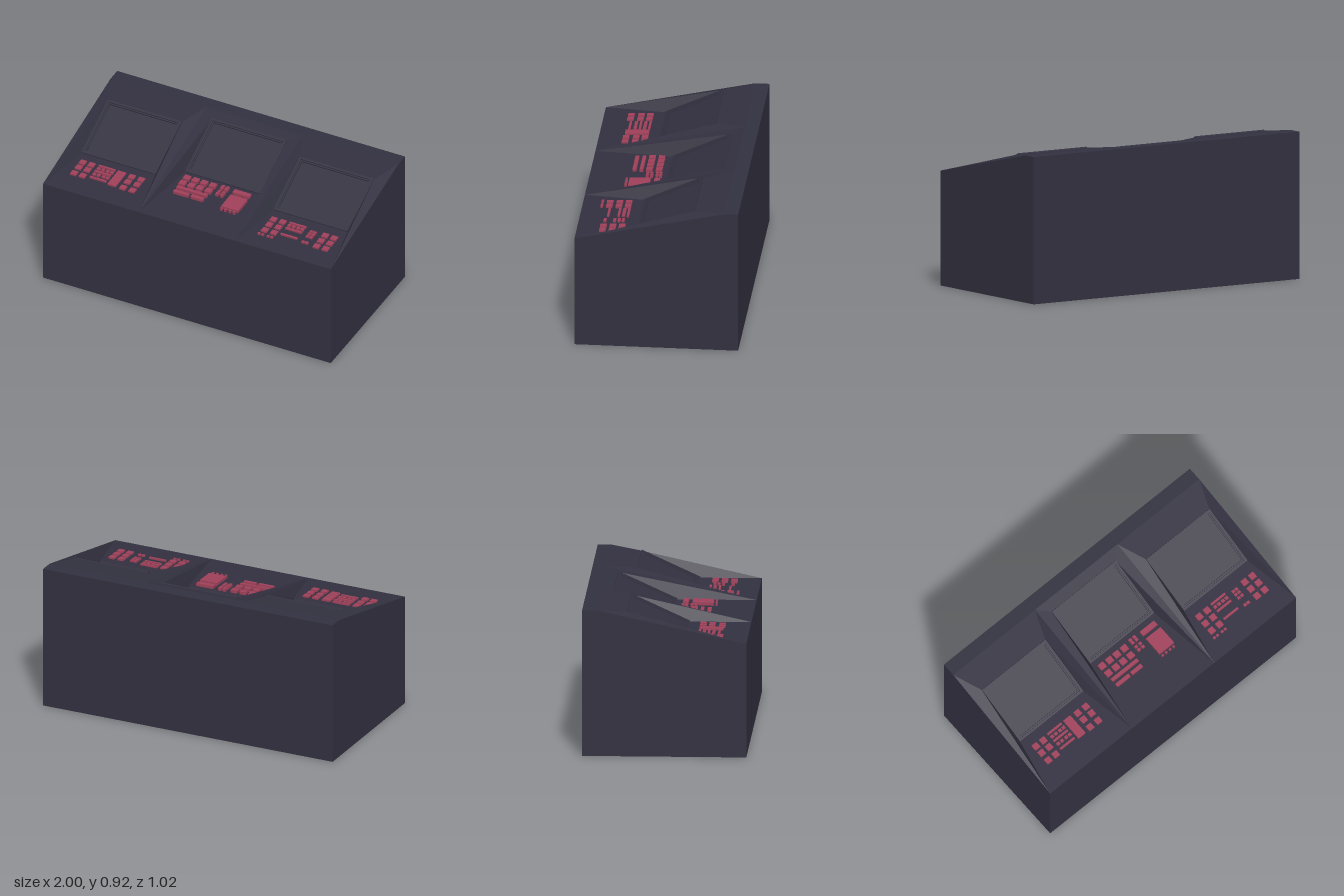
import * as THREE from 'three';

const bodyMat = new THREE.MeshStandardMaterial({ color: 0x32303f });
bodyMat.name = 'dark slate';
const keyMat = new THREE.MeshStandardMaterial({ color: 0x9e4059 });
keyMat.name = 'dusty red';

const FRONT = 0.51, RIDGE = -0.42, BACK = -0.51, LOW = 0.72, HIGH = 0.923, HINGE = 0.735;

// Flat-shaded mesh from convex polygons, each fanned from its first corner
function facets(name, polygons) {
  const pos = [];
  for (const p of polygons)
    for (let i = 1; i < p.length - 1; i++) pos.push(...p[0], ...p[i], ...p[i + 1]);
  const g = new THREE.BufferGeometry();
  g.setAttribute('position', new THREE.Float32BufferAttribute(pos, 3));
  g.computeVertexNormals();
  const m = new THREE.Mesh(g, bodyMat);
  m.name = name;
  return m;
}

// Rectangle path with separate left, right, bottom and top
function rect(Type, l, r, b, t) {
  const s = new Type();
  s.moveTo(l, b); s.lineTo(r, b); s.lineTo(r, t); s.lineTo(l, t); s.closePath();
  return s;
}

// Rectangular ring; the bottom bar can be wider than the others
function ring(name, w, h, inset, side, bottom, z0, z1) {
  const l = -w / 2 + inset, b = -h / 2 + inset;
  const s = rect(THREE.Shape, l, -l, b, -b);
  s.holes.push(rect(THREE.Path, l + side, -l - side, b + bottom, -b - side));
  const g = new THREE.ExtrudeGeometry(s, { depth: z1 - z0, bevelEnabled: false });
  const m = new THREE.Mesh(g, bodyMat);
  m.position.z = z0;
  m.name = name;
  return m;
}

// One workstation: key deck, sloping cheeks, back slope and tilted monitor
function makeBay({ name, x0, x1, in0, in1, zB, zC, yC, keyHeight, keys }) {
  const bay = new THREE.Group();
  bay.name = name;
  const A0 = [x0, LOW, FRONT], A1 = [x1, LOW, FRONT];
  const B0 = [in0, HINGE, zB], B1 = [in1, HINGE, zB];
  const C0 = [in0, yC, zC], C1 = [in1, yC, zC];
  const D0 = [x0, HIGH, RIDGE], D1 = [x1, HIGH, RIDGE];
  bay.add(facets('keyDeck', [[A0, A1, B1, B0]]));
  bay.add(facets('cheeks', [[A0, B0, C0], [A0, C0, D0], [A1, D1, C1], [A1, C1, B1]]));
  bay.add(facets('backSlope', [[C0, C1, D1, D0]]));

  // Monitor
  const dy = yC - HINGE, dz = zB - zC, w = in1 - in0, h = Math.hypot(dy, dz);
  const monitor = new THREE.Group();
  monitor.name = 'monitor';
  monitor.position.set((in0 + in1) / 2, (HINGE + yC) / 2, (zB + zC) / 2);
  monitor.rotation.x = -Math.atan2(dz, dy);
  monitor.add(ring('outerFrame', w, h, 0, 0.015, 0.015, -0.014, 0.007));
  monitor.add(ring('innerFrame', w, h, 0.014, 0.01, 0.012, -0.014, 0));
  const screen = new THREE.Mesh(new THREE.PlaneGeometry(w - 0.03, h - 0.03), bodyMat);
  screen.name = 'screen';
  screen.position.z = -0.009;
  monitor.add(screen);
  bay.add(monitor);

  // Keys, each row of data being x list, z list, width, depth
  const keypad = new THREE.Group();
  keypad.name = 'keypad';
  const slope = (HINGE - LOW) / (FRONT - zB);
  for (const [xs, zs, kw, kd] of keys)
    for (const x of xs) for (const z of zs) {
      const k = new THREE.Mesh(new THREE.BoxGeometry(kw, keyHeight, kd), keyMat);
      k.name = 'key';
      k.position.set(x, LOW + slope * (FRONT - z) + keyHeight / 2 - 0.001, z);
      k.rotation.x = Math.atan(slope);
      keypad.add(k);
    }
  bay.add(keypad);
  return bay;
}

export function createModel() {
  const model = new THREE.Group();
  model.name = 'controlConsole';

  // Cabinet shell
  const side = (x) => [[x, 0, FRONT], [x, 0, BACK], [x, HIGH, BACK], [x, HIGH, RIDGE], [x, LOW, FRONT]];
  model.add(facets('cabinet', [
    [[-1, 0, FRONT], [1, 0, FRONT], [1, LOW, FRONT], [-1, LOW, FRONT]],
    [[1, 0, BACK], [-1, 0, BACK], [-1, HIGH, BACK], [1, HIGH, BACK]],
    [[-1, 0, BACK], [1, 0, BACK], [1, 0, FRONT], [-1, 0, FRONT]],
    [[-1, HIGH, RIDGE], [1, HIGH, RIDGE], [1, HIGH, BACK], [-1, HIGH, BACK]],
    side(1), side(-1).reverse(),
  ]));

  // Outer workstations
  const outer = { zB: 0.13, zC: -0.235, yC: 0.903, keyHeight: 0.012 };
  model.add(makeBay({
    ...outer, name: 'rightBay', x0: -1, x1: -0.335, in0: -0.925, in1: -0.41,
    keys: [
      [[-0.87, -0.81], [0.22, 0.275, 0.338], 0.04, 0.04],
      [[-0.708], [0.207, 0.265, 0.33], 0.115, 0.014],
      [[-0.752, -0.722, -0.688, -0.66], [0.236, 0.295], 0.022, 0.02],
      [[-0.605], [0.276], 0.057, 0.15],
      [[-0.53, -0.465], [0.22, 0.275, 0.338], 0.04, 0.04],
    ],
  }));
  model.add(makeBay({
    ...outer, name: 'leftBay', x0: 0.335, x1: 1, in0: 0.41, in1: 0.925,
    keys: [
      [[0.457, 0.52], [0.222, 0.28, 0.34], 0.04, 0.04],
      [[0.44, 0.465, 0.503, 0.528], [0.387], 0.017, 0.015],
      [[0.62], [0.209, 0.267, 0.332], 0.115, 0.014],
      [[0.574, 0.604, 0.636, 0.665], [0.237], 0.022, 0.02],
      [[0.725, 0.75], [0.232, 0.257, 0.285, 0.345], 0.02, 0.018],
      [[0.82, 0.882], [0.23, 0.288, 0.347], 0.04, 0.04],
    ],
  }));

  // Central workstation, set deeper
  model.add(makeBay({
    name: 'centreBay', x0: -0.335, x1: 0.335, in0: -0.26, in1: 0.26,
    zB: 0.02, zC: -0.35, yC: 0.905, keyHeight: 0.02,
    keys: [
      [[-0.215, -0.155, -0.096, -0.035], [0.083, 0.143], 0.042, 0.04],
      [[-0.125], [0.193], 0.21, 0.022],
      [[-0.177], [0.237], 0.105, 0.024],
      [[-0.066], [0.237], 0.085, 0.024],
      [[0.028, 0.06], [0.066, 0.088, 0.122, 0.148], 0.02, 0.018],
      [[0.165], [0.08], 0.115, 0.035],
      [[0.167], [0.187], 0.118, 0.132],
      [[0.118, 0.147, 0.178, 0.207], [0.27], 0.015, 0.013],
    ],
  }));
  return model;
}
